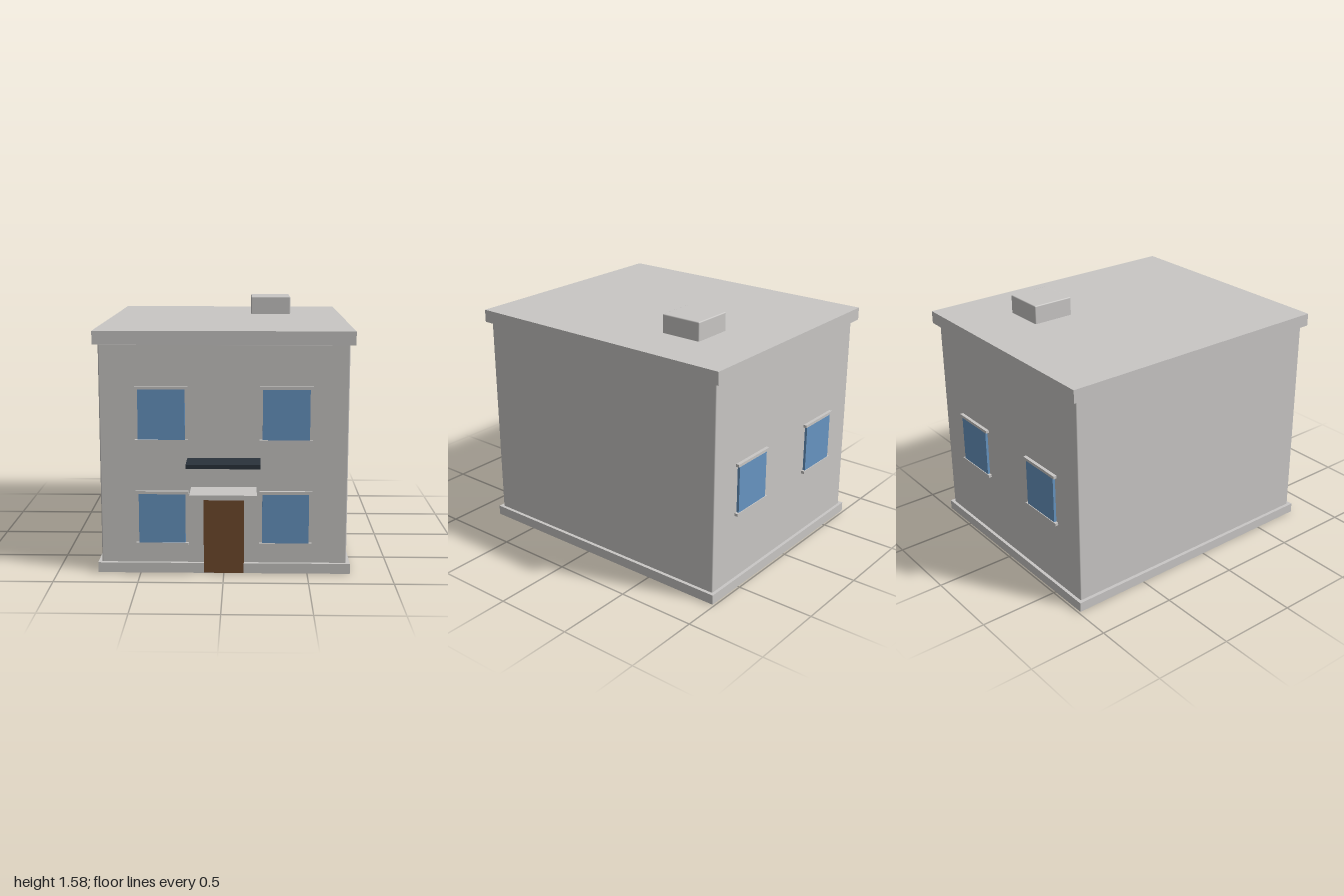
import * as THREE from 'three';
import { RoundedBoxGeometry } from 'three/addons/geometries/RoundedBoxGeometry.js';

export function createModel() {
  const house = new THREE.Group();
  house.name = 'house';

  const material = (name, color) => {
    const m = new THREE.MeshStandardMaterial({ color });
    m.name = name;
    return m;
  };
  const stone = material('stone', 0xc9c7c5);
  const glass = material('glass', 0x6795c2);
  const wood = material('wood', 0x704a2c);
  const slate = material('slate', 0x2a333b);

  // Box given by its limits on each axis; bevel softens the edges
  function block(name, mat, [x0, x1], [y0, y1], [z0, z1], parent = house, bevel = 0) {
    const size = [x1 - x0, y1 - y0, z1 - z0];
    const geometry = bevel
      ? new RoundedBoxGeometry(...size, 2, bevel)
      : new THREE.BoxGeometry(...size);
    const mesh = new THREE.Mesh(geometry, mat);
    mesh.position.set((x0 + x1) / 2, (y0 + y1) / 2, (z0 + z1) / 2);
    mesh.name = name;
    parent.add(mesh);
    return mesh;
  }

  // Main masses
  block('plinth', stone, [-0.757, 0.757], [0, 0.062], [-0.986, 0.823]);
  block('walls', stone, [-0.735, 0.735], [0.055, 1.382], [-0.966, 0.802], house, 0.007);
  block('roofSlab', stone, [-0.765, 0.765], [1.38, 1.46], [-1, 0.83]);
  block('chimney', stone, [0.16, 0.428], [1.452, 1.577], [-0.615, -0.345], house, 0.007);

  // Window built facing +z with its sill and lintel, then turned to its wall
  function windowUnit(name, x, y, z, facing) {
    const unit = new THREE.Group();
    unit.name = name;
    block('pane', glass, [-0.139, 0.139], [-0.152, 0.152], [-0.01, 0.016], unit);
    block('sill', stone, [-0.157, 0.157], [-0.168, -0.15], [-0.01, 0.021], unit);
    block('lintel', stone, [-0.157, 0.157], [0.15, 0.168], [-0.01, 0.021], unit);
    unit.position.set(x, y, z);
    if (facing < 0) unit.rotation.y = Math.PI;
    house.add(unit);
  }
  for (const [label, side] of [['left', 1], ['right', -1]]) {
    windowUnit(label + 'UpperWindow', side * 0.368, 0.967, 0.802, 1);
    windowUnit(label + 'LowerWindow', side * 0.368, 0.337, 0.802, 1);
    windowUnit(label + 'BackWindow', side * 0.368, 0.652, -0.966, -1);
  }

  // Entrance
  block('door', wood, [-0.12, 0.12], [0.002, 0.456], [0.79, 0.826]);
  block('doorHood', stone, [-0.195, 0.195], [0.5, 0.528], [0.79, 1]);
  block('canopy', slate, [-0.216, 0.216], [0.68, 0.705], [0.79, 0.982]);

  return house;
}
